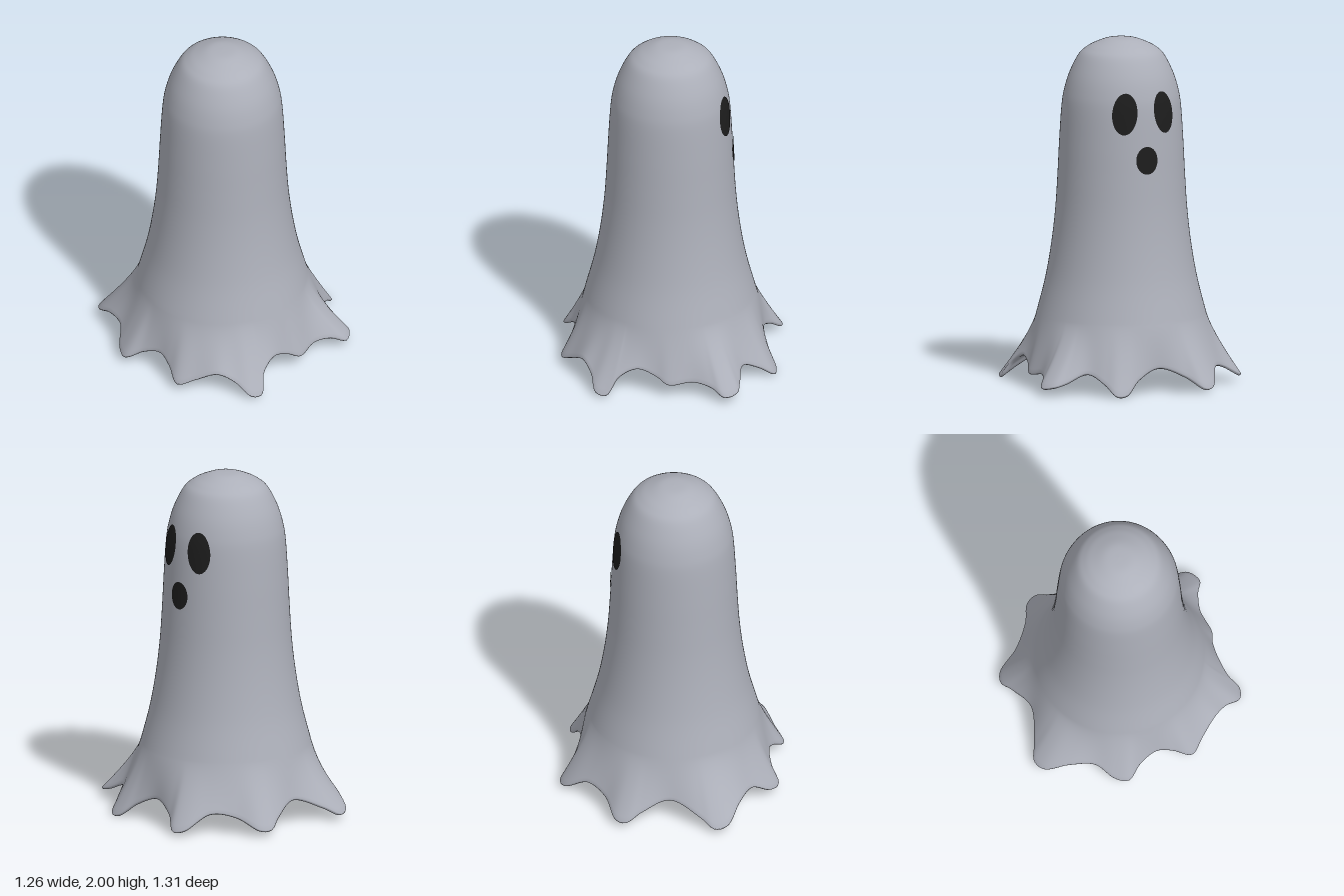
import * as THREE from 'three';

const COLUMNS = 240;
const SKIRT_TOP = 0.4;
const SHIFT = -0.008;

// Round body silhouette (radius, height), crown to the start of the wavy skirt
const profile = new THREE.SplineCurve([
  [0, 2], [0.08, 1.995], [0.15, 1.97], [0.2, 1.943], [0.246, 1.9], [0.297, 1.8], [0.328, 1.7], [0.344, 1.6],
  [0.357, 1.4], [0.367, 1.2], [0.38, 1.0], [0.403, 0.8], [0.438, 0.6], [0.489, SKIRT_TOP],
].map(([r, y]) => new THREE.Vector2(r, y))).getPoints(65);

// Wavy hem, clockwise from the middle of the face side (x, y, z)
const hem = new THREE.CatmullRomCurve3([
  [0.53, 0.155, 0], [0.56, 0.1, 0.14], [0.61, 0.02, 0.24], [0.605, 0.015, 0.3], [0.52, 0.08, 0.345],
  [0.425, 0.13, 0.41], [0.41, 0.08, 0.54], [0.4, 0.06, 0.61], [0.33, 0.05, 0.655], [0.25, 0.09, 0.61],
  [0.14, 0.105, 0.575], [0, 0.09, 0.588], [-0.07, 0.13, 0.56], [-0.18, 0.17, 0.545], [-0.29, 0.12, 0.56],
  [-0.36, 0.025, 0.605], [-0.42, 0.03, 0.58], [-0.45, 0.1, 0.48], [-0.5, 0.14, 0.39], [-0.57, 0.09, 0.28],
  [-0.63, 0.05, 0.19], [-0.585, 0.11, 0.09], [-0.56, 0.145, 0], [-0.58, 0.11, -0.11], [-0.63, 0.05, -0.21],
  [-0.59, 0.06, -0.28], [-0.49, 0.13, -0.36], [-0.43, 0.12, -0.49], [-0.37, 0.05, -0.63], [-0.3, 0.04, -0.66],
  [-0.21, 0.09, -0.62], [-0.03, 0.16, -0.56], [0.13, 0.1, -0.61], [0.22, 0.045, -0.645], [0.28, 0.045, -0.62],
  [0.35, 0.11, -0.49], [0.46, 0.13, -0.385], [0.6, 0.04, -0.31], [0.63, 0.03, -0.25], [0.57, 0.1, -0.15],
].map((p) => new THREE.Vector3(...p)), true).getSpacedPoints(COLUMNS).slice(0, COLUMNS);

// Radius of the round body at a height
function bodyRadius(y) {
  const i = Math.max(1, profile.findIndex((p) => p.y <= y));
  const a = profile[i - 1], b = profile[i];
  return THREE.MathUtils.mapLinear(y, a.y, b.y, a.x, b.x);
}

// Points (radius, height) along a bent line
function bend(start, control, end, steps) {
  const v = [start, control, end].map((p) => new THREE.Vector2(...p));
  return new THREE.QuadraticBezierCurve(...v).getPoints(steps).slice(1);
}

// Cross-section in one direction: crown, skirt, rounded lip, shallow domed underside
function crossSection(h) {
  const r = Math.hypot(h.x, h.z);
  const skirt = bend([0.489, SKIRT_TOP], [0.518, 0.29], [r, h.y], 18);
  const lip = [[r - 0.002, h.y - 0.008], [r - 0.01, h.y - 0.012], [r - 0.018, h.y - 0.008]];
  const underside = bend(lip[2], [0.4, 0.26], [0, 0.3], 18);
  return [
    ...profile.map((p) => [p.x, p.y, SHIFT]),
    ...skirt.map(([...p], k) => [...p, SHIFT * (1 - (k + 1) / 18)]),
    ...lip.map((p) => [...p, 0]),
    ...underside.map(([...p]) => [...p, 0]),
  ].map(([a, y, shift]) => [a * h.x / r + shift, y, a * h.z / r]);
}

// Skin the cross-sections into one closed sheet
function sheetGeometry() {
  const columns = hem.map(crossSection);
  const rows = columns[0].length;
  const positions = [], index = [];
  for (let i = 0; i < rows; i++) {
    for (let j = 0; j < COLUMNS; j++) {
      positions.push(...columns[j][i]);
      if (i === rows - 1) continue;
      const a = i * COLUMNS + j, b = i * COLUMNS + (j + 1) % COLUMNS;
      index.push(a, b, a + COLUMNS, b, b + COLUMNS, a + COLUMNS);
    }
  }
  const geometry = new THREE.BufferGeometry();
  geometry.setAttribute('position', new THREE.Float32BufferAttribute(positions, 3));
  geometry.setIndex(index);
  geometry.computeVertexNormals();
  return geometry;
}

// Oval patch wrapped onto the +x side of the body
function facePatch(name, material, z, y, halfWidth, halfHeight, tilt) {
  const geometry = new THREE.RingGeometry(0, 1, 48, 8);
  geometry.scale(halfWidth, halfHeight, 1).rotateZ(tilt);
  const pos = geometry.attributes.position;
  for (let i = 0; i < pos.count; i++) {
    const py = y + pos.getY(i), pz = z - pos.getX(i);
    const r = bodyRadius(py) + 0.004;
    pos.setXYZ(i, Math.sqrt(r * r - pz * pz) + SHIFT, py, pz);
  }
  geometry.computeVertexNormals();
  const mesh = new THREE.Mesh(geometry, material);
  mesh.name = name;
  return mesh;
}

export function createModel() {
  const cloth = new THREE.MeshStandardMaterial({ name: 'pale grey cloth', color: 0xadb0ba });
  const black = new THREE.MeshStandardMaterial({ name: 'soft black', color: 0x1d1d1d });
  const group = new THREE.Group();
  group.name = 'sheetGhost';

  const sheet = new THREE.Mesh(sheetGeometry(), cloth);
  sheet.name = 'sheet';
  group.add(sheet);

  for (const [name, side] of [['leftEye', 1], ['rightEye', -1]]) {
    group.add(facePatch(name, black, side * 0.121, 1.6, 0.068, 0.12, -side * 0.12));
  }
  group.add(facePatch('mouth', black, 0, 1.33, 0.067, 0.08, 0));
  return group;
}
